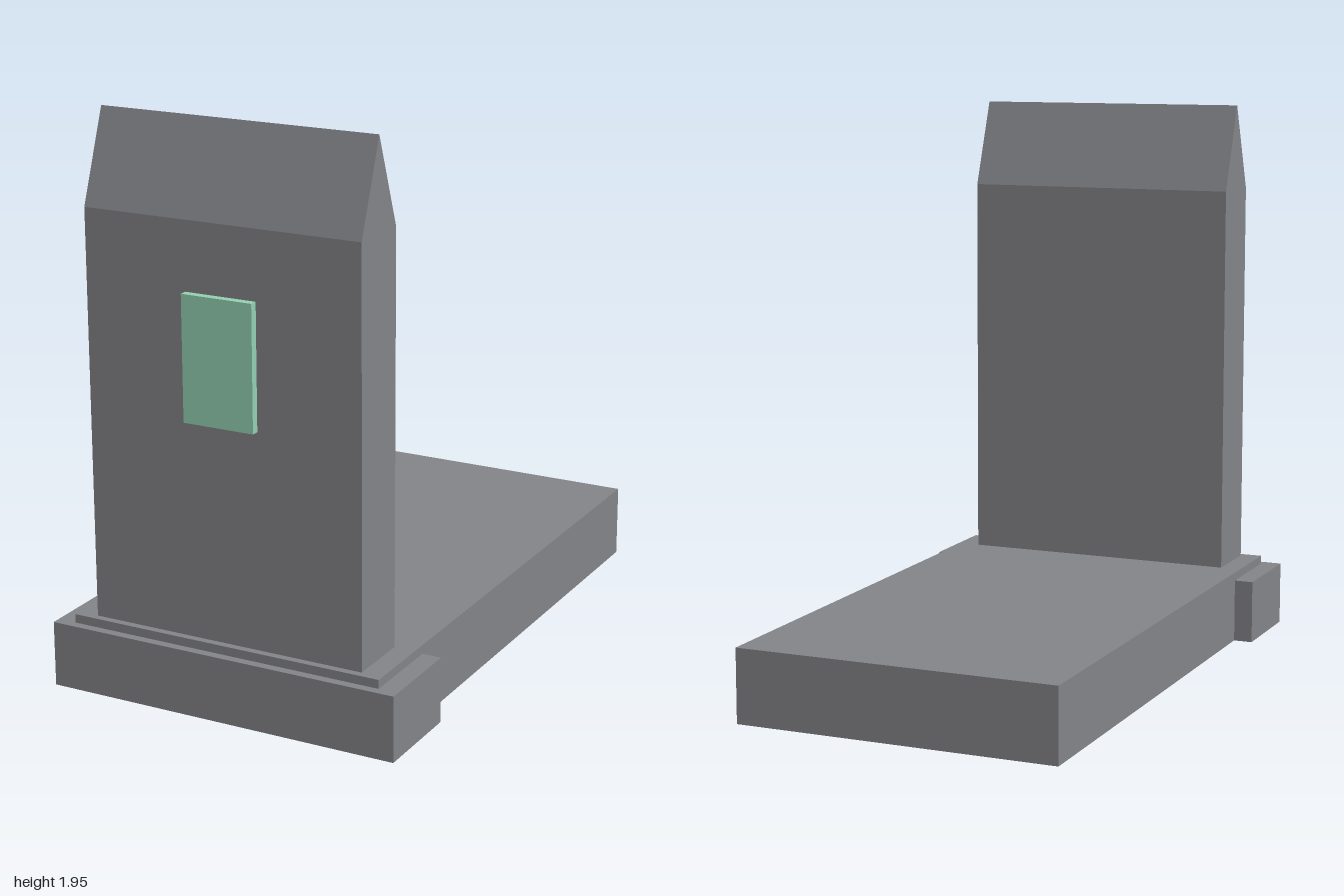
import * as THREE from 'three';

export function createModel() {
  const model = new THREE.Group();
  const stone = new THREE.MeshStandardMaterial({ color: 0x828387 });
  stone.name = 'grey stone';
  const plaqueGreen = new THREE.MeshStandardMaterial({ color: 0x92cfb0 });
  plaqueGreen.name = 'pale green';

  // Box given by its extents on each axis
  function box(name, material, [x0, x1], [y0, y1], [z0, z1]) {
    const mesh = new THREE.Mesh(new THREE.BoxGeometry(x1 - x0, y1 - y0, z1 - z0), material);
    mesh.position.set((x0 + x1) / 2, (y0 + y1) / 2, (z0 + z1) / 2);
    mesh.name = name;
    model.add(mesh);
  }

  // Long grave slab and the wider plinth wrapped round its front end
  box('graveSlab', stone, [-0.565, 0.565], [0, 0.255], [-1, 0.97]);
  box('plinth', stone, [-0.632, 0.632], [0, 0.225], [0.665, 1]);

  // Upright headstone: side profile with a ridged top, extruded across x
  const profile = new THREE.Shape([
    [-0.945, 0.25], [-0.72, 0.25], [-0.72, 1.64], [-0.8325, 1.945], [-0.945, 1.64],
  ].map(([x, y]) => new THREE.Vector2(x, y)));
  const width = 0.985;
  const geometry = new THREE.ExtrudeGeometry(profile, { depth: width, bevelEnabled: false });
  geometry.translate(0, 0, -width / 2);
  geometry.rotateY(Math.PI / 2);
  const headstone = new THREE.Mesh(geometry, stone);
  headstone.name = 'headstone';
  model.add(headstone);

  // Plaque on the front face
  box('plaque', plaqueGreen, [-0.126, 0.126], [0.99, 1.41], [0.94, 0.972]);

  return model;
}
